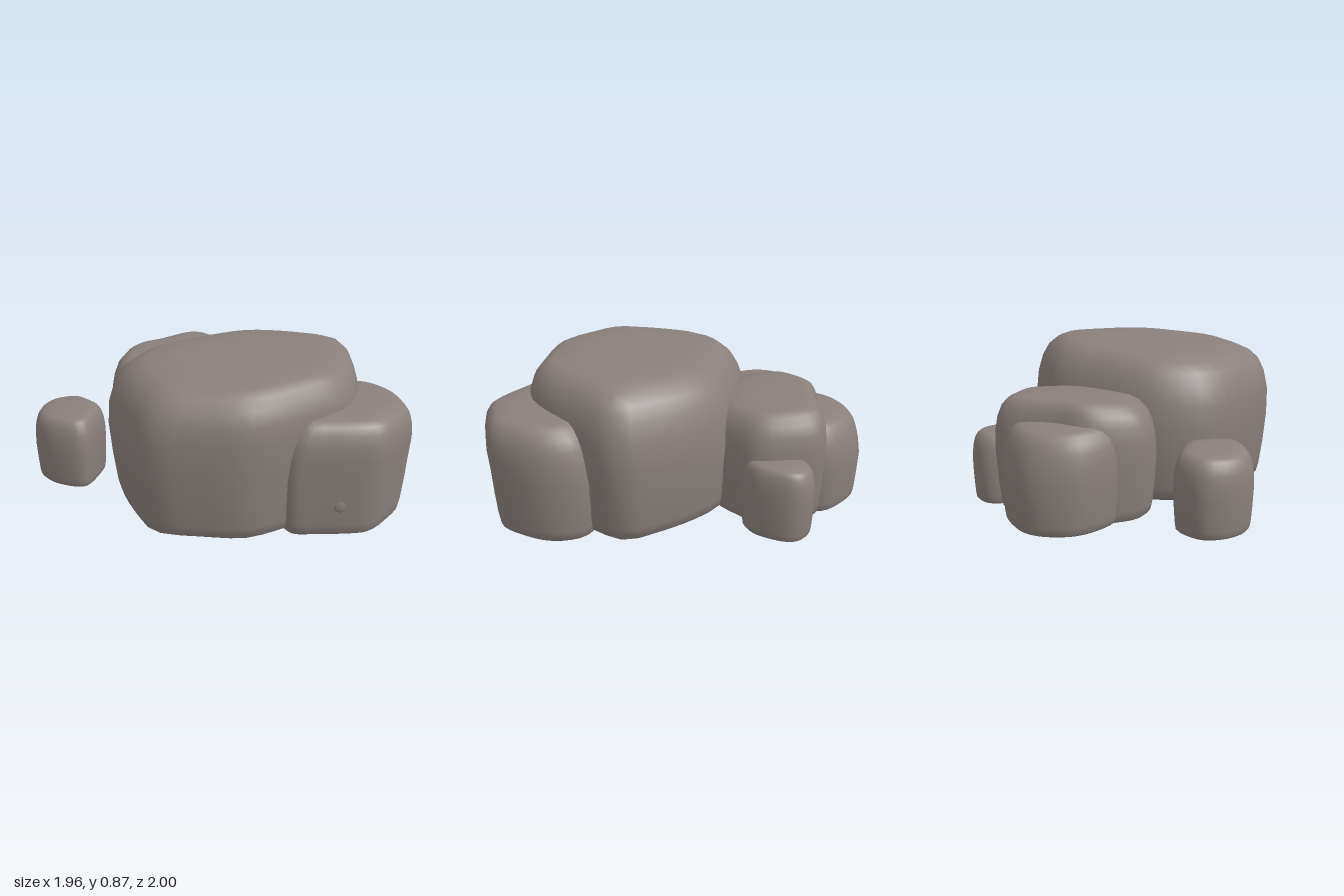
import * as THREE from 'three';

const stone = new THREE.MeshStandardMaterial({ color: 0x8a807c });

// Scale of the plan outline at each fraction of the height, bottom to top
const PROFILE = [
  [0.88, 0], [0.935, 0.03], [0.955, 0.1], [0.98, 0.28], [1, 0.5], [0.99, 0.68],
  [0.955, 0.8], [0.9, 0.89], [0.82, 0.95], [0.72, 0.985], [0.5, 1], [0.25, 1.004],
];

// Lofts a boulder over a plan outline of [x, z] points, clockwise from above.
// tilt: slope of the top in x and z; lean: sideways drift of the top.
function boulder(name, outline, height, { base = 0.01, tilt = [0, 0], lean = [0, 0], profile = PROFILE } = {}) {
  const N = 44;
  const curve = new THREE.CatmullRomCurve3(
    outline.map(([x, z]) => new THREE.Vector3(x, 0, z)), true, 'centripetal');
  const ring = curve.getSpacedPoints(N).slice(0, N);
  const box = new THREE.Box3().setFromPoints(ring);
  const c = box.getCenter(new THREE.Vector3());

  const pos = [], index = [];
  const add = (dx, dz, t) => {
    const k = Math.max(0, t - 0.5) * 2;
    const y = base + (height - base) * t + t * (dx * tilt[0] + dz * tilt[1]);
    pos.push(c.x + dx + k * lean[0], Math.max(y, base), c.z + dz + k * lean[1]);
  };
  for (const [s, t] of profile)
    for (const p of ring) add((p.x - c.x) * s, (p.z - c.z) * s, t);
  const top = pos.length / 3;
  add(0, 0, 1.005);

  // Side walls and crown
  const last = profile.length - 1;
  for (let i = 0; i < N; i++) {
    const n = (i + 1) % N;
    for (let j = 0; j < last; j++) {
      const a = j * N + i, b = j * N + n;
      index.push(a, a + N, b + N, a, b + N, b);
    }
    index.push(top, last * N + n, last * N + i);
  }
  // Flat underside on its own vertices, so its rim stays sharp
  const under = pos.length / 3;
  for (let i = 0; i < N; i++) pos.push(pos[i * 3], pos[i * 3 + 1], pos[i * 3 + 2]);
  pos.push(c.x, base - 0.01, c.z);
  for (let i = 0; i < N; i++) index.push(under + i, under + (i + 1) % N, under + N);

  const geo = new THREE.BufferGeometry();
  geo.setAttribute('position', new THREE.Float32BufferAttribute(pos, 3));
  geo.setIndex(index);
  geo.computeVertexNormals();
  const mesh = new THREE.Mesh(geo, stone);
  mesh.name = name;
  return mesh;
}

export function createModel() {
  const group = new THREE.Group();
  group.name = 'boulderCluster';

  group.add(
    boulder('mainBoulder', [
      [-0.6, 0.12], [-0.56, -0.05], [-0.38, -0.23], [-0.2, -0.29], [0.05, -0.32], [0.35, -0.32],
      [0.55, -0.23], [0.78, -0.05], [0.89, 0.07], [0.88, 0.2], [0.81, 0.38], [0.72, 0.57],
      [0.55, 0.76], [0.3, 0.84], [0.05, 0.89], [-0.08, 0.89], [-0.3, 0.8], [-0.53, 0.67], [-0.58, 0.48],
    ], 0.86, { base: 0.02, tilt: [0.035, 0], lean: [0, 0.04] }),

    boulder('frontBoulder', [
      [0.2, 0.6], [0.4, 0.34], [0.65, 0.28], [0.85, 0.29], [0.93, 0.37], [0.975, 0.5],
      [0.96, 0.68], [0.92, 0.8], [0.75, 0.93], [0.62, 0.995], [0.5, 0.98], [0.3, 0.92], [0.17, 0.87],
    ], 0.67, { lean: [0.02, 0.03] }),

    boulder('middleBoulder', [
      [-0.465, -0.42], [-0.42, -0.55], [-0.3, -0.7], [-0.1, -0.75], [0.2, -0.845], [0.29, -0.82],
      [0.42, -0.62], [0.45, -0.5], [0.4, -0.38], [0.3, -0.22], [0.1, -0.12], [-0.2, -0.12], [-0.38, -0.24],
    ], 0.655, { tilt: [0, -0.05], lean: [0, -0.01] }),

    boulder('backBoulder', [
      [-0.4, -0.63], [-0.36, -0.84], [-0.22, -0.97], [-0.1, -1], [0.05, -0.96], [0.2, -0.85],
      [0.2, -0.66], [0, -0.5], [-0.25, -0.48], [-0.38, -0.54],
    ], 0.55, { tilt: [0, 0.06], lean: [0, 0.03] }),

    boulder('smallRightRock', [
      [0.28, -0.65], [0.32, -0.78], [0.4, -0.83], [0.52, -0.8], [0.56, -0.73], [0.555, -0.6],
      [0.52, -0.5], [0.43, -0.43], [0.32, -0.48],
    ], 0.42),

    boulder('smallLeftRock', [
      [-0.98, -0.27], [-0.94, -0.4], [-0.85, -0.485], [-0.68, -0.47], [-0.63, -0.41], [-0.56, -0.25],
      [-0.57, -0.2], [-0.69, -0.02], [-0.75, 0.015], [-0.9, -0.08], [-0.96, -0.17],
    ], 0.44, { tilt: [0.06, 0] }),
  );

  // Small stone bump low on the front boulder
  const bump = new THREE.Mesh(new THREE.SphereGeometry(0.045, 10, 8), stone);
  bump.name = 'stoneBump';
  bump.scale.z = 0.4;
  bump.position.set(0.44, 0.2, 0.945);
  bump.rotation.y = -0.25;
  group.add(bump);

  return group;
}
